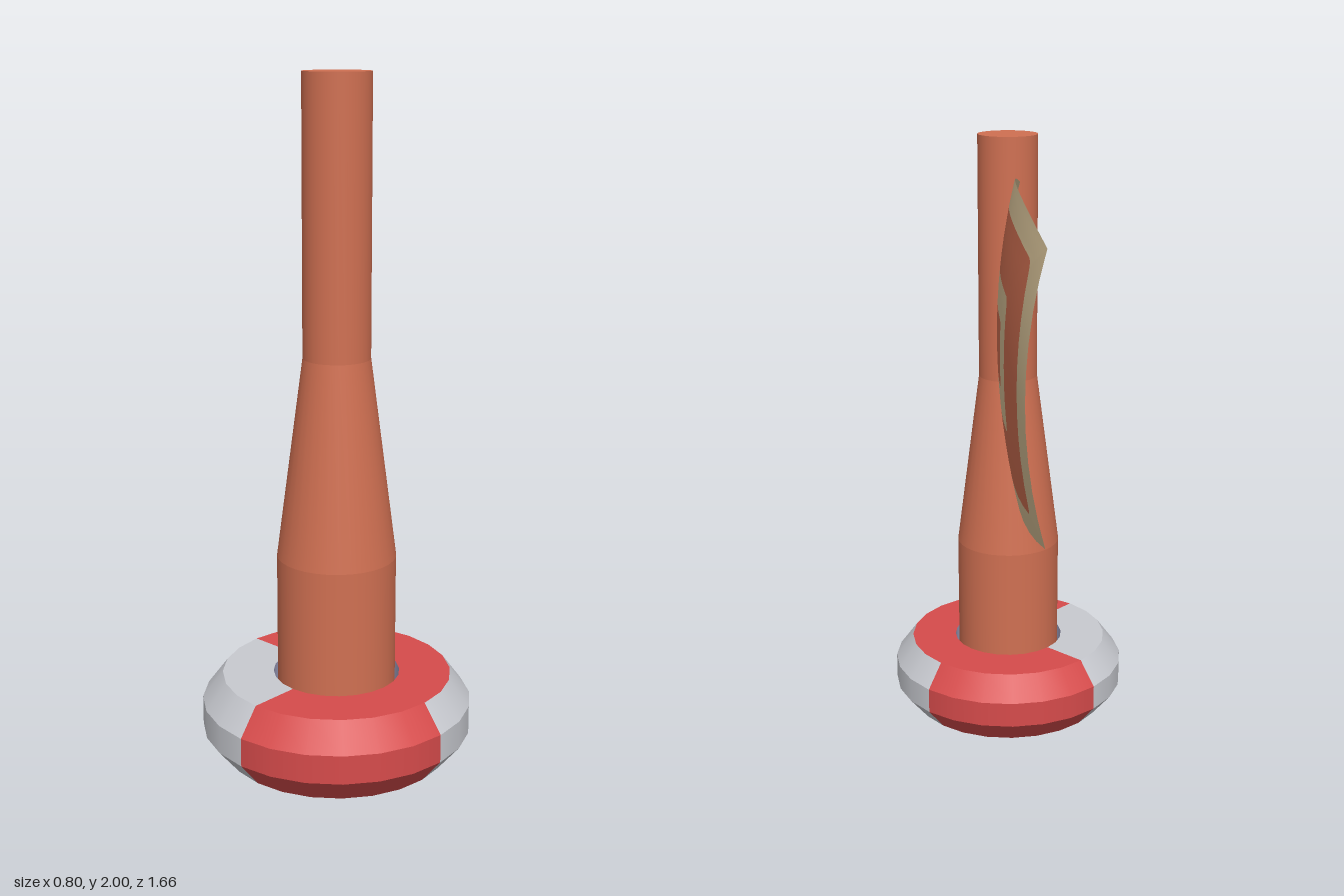
import * as THREE from 'three';

const mat = (name, color, side = THREE.FrontSide) => {
  const m = new THREE.MeshStandardMaterial({ color, side });
  m.name = name;
  return m;
};

// Sheet position for z and a vertical parameter v in -1..1: bowed along its length and its height
function sheetPoint(z, v) {
  const u = (z + 0.25) / 0.58;
  const x = 0.007 * u - 0.042 * u * u + 0.054 * (1 - v * v);
  const y = 1.465 + v * (0.462 - 0.066 * u * u);
  return [x, y, z];
}

// Rounded rectangle loop in (z, v), always with the same number of points
function rectLoop(z0, z1, v0, v1, r) {
  const H = 0.46, pts = [], ARC = 4, SIDE = 10;
  const corners = [[z1 - r, v1 * H - r, 0], [z0 + r, v1 * H - r, 1], [z0 + r, v0 * H + r, 2], [z1 - r, v0 * H + r, 3]];
  const at = ([cz, cs, q], t) => {
    const a = (q + t) * Math.PI / 2;
    return [cz + r * Math.cos(a), (cs + r * Math.sin(a)) / H];
  };
  corners.forEach((c, i) => {
    for (let k = 0; k < ARC; k++) pts.push(at(c, k / ARC));
    const a = at(c, 1), b = at(corners[(i + 1) % 4], 0);
    for (let k = 0; k < SIDE; k++) {
      const t = k / SIDE;
      pts.push([a[0] + (b[0] - a[0]) * t, a[1] + (b[1] - a[1]) * t]);
    }
  });
  return pts;
}

// Band of the sheet between two loops
function sheetBand(outer, inner, steps) {
  const n = outer.length, pos = [], idx = [];
  for (let s = 0; s <= steps; s++) {
    for (let i = 0; i < n; i++) {
      const t = s / steps, o = outer[i], p = inner[i];
      pos.push(...sheetPoint(o[0] + (p[0] - o[0]) * t, o[1] + (p[1] - o[1]) * t));
    }
  }
  for (let s = 0; s < steps; s++) {
    for (let i = 0; i < n; i++) {
      const j = (i + 1) % n, a = s * n + i, b = s * n + j, c = a + n, d = b + n;
      idx.push(a, c, b, b, c, d);
    }
  }
  const g = new THREE.BufferGeometry();
  g.setAttribute('position', new THREE.Float32BufferAttribute(pos, 3));
  g.setIndex(idx);
  g.computeVertexNormals();
  return g;
}

export function createModel() {
  const model = new THREE.Group();
  model.name = 'flagPost';
  const terracotta = mat('terracotta', 0xd07052);
  const flagRed = mat('flagTerracotta', 0xd07052, THREE.DoubleSide);
  const cream = mat('cream', 0xd8c298, THREE.DoubleSide);
  const red = mat('ringRed', 0xd64b4b);
  const grey = mat('ringGrey', 0xc8cad0);
  const lavender = mat('lavender', 0xa2a2c2, THREE.DoubleSide);

  const stand = new THREE.Group();
  stand.name = 'stand';
  stand.position.z = 0.43;
  model.add(stand);

  const add = (parent, name, geometry, material) => {
    const m = new THREE.Mesh(geometry, material);
    m.name = name;
    parent.add(m);
    return m;
  };
  // One straight lathe band, so edges between bands stay sharp
  const band = (name, a, b, material, segs, start = 0, len = Math.PI * 2) => add(stand, name,
    new THREE.LatheGeometry([new THREE.Vector2(...a), new THREE.Vector2(...b)], segs, start, len), material);

  // Ring in four coloured quarters: front, +x, back, -x
  const ring = [[0.188, 0.002], [0.335, 0.002], [0.4, 0.08], [0.4, 0.165], [0.34, 0.245], [0.188, 0.245]];
  for (let q = 0; q < 4; q++) {
    for (let i = 0; i < ring.length - 1; i++) {
      const redTop = q === 1 && i === 4;
      band('ringQuarter', ring[i], ring[i + 1], q % 2 === 0 || redTop ? red : grey,
        6, (q - 0.5) * Math.PI / 2, Math.PI / 2);
    }
  }
  // Hole lining and floor
  band('ringLining', [0.188, 0.245], [0.188, 0.002], lavender, 24);
  band('ringFloor', [0.0, 0.02], [0.188, 0.02], lavender, 24);
  band('bottomPlate', [0, 0], [0.23, 0], lavender, 24);

  // Stepped post
  const post = [[0.175, 0.02], [0.175, 0.61], [0.098, 1.2], [0.098, 2], [0, 2]];
  for (let i = 0; i < post.length - 1; i++) band('post', post[i], post[i + 1], terracotta, 32);

  // Bowed flag with nested rectangles
  const flag = new THREE.Group();
  flag.name = 'flag';
  model.add(flag);
  const loops = [
    rectLoop(-0.83, 0.335, -1, 1, 0.0001),
    rectLoop(-0.715, 0.312, -0.82, 0.82, 0.025),
    rectLoop(-0.463, 0.07, -0.425, 0.425, 0.025),
    rectLoop(-0.333, -0.067, -0.212, 0.212, 0.025),
    rectLoop(-0.201, -0.199, -0.001, 0.001, 0.0001),
  ];
  const names = ['flagBorder', 'flagField', 'flagFrame', 'flagCentre'];
  names.forEach((name, i) => add(flag, name, sheetBand(loops[i], loops[i + 1], 4), i % 2 ? flagRed : cream));

  return model;
}
